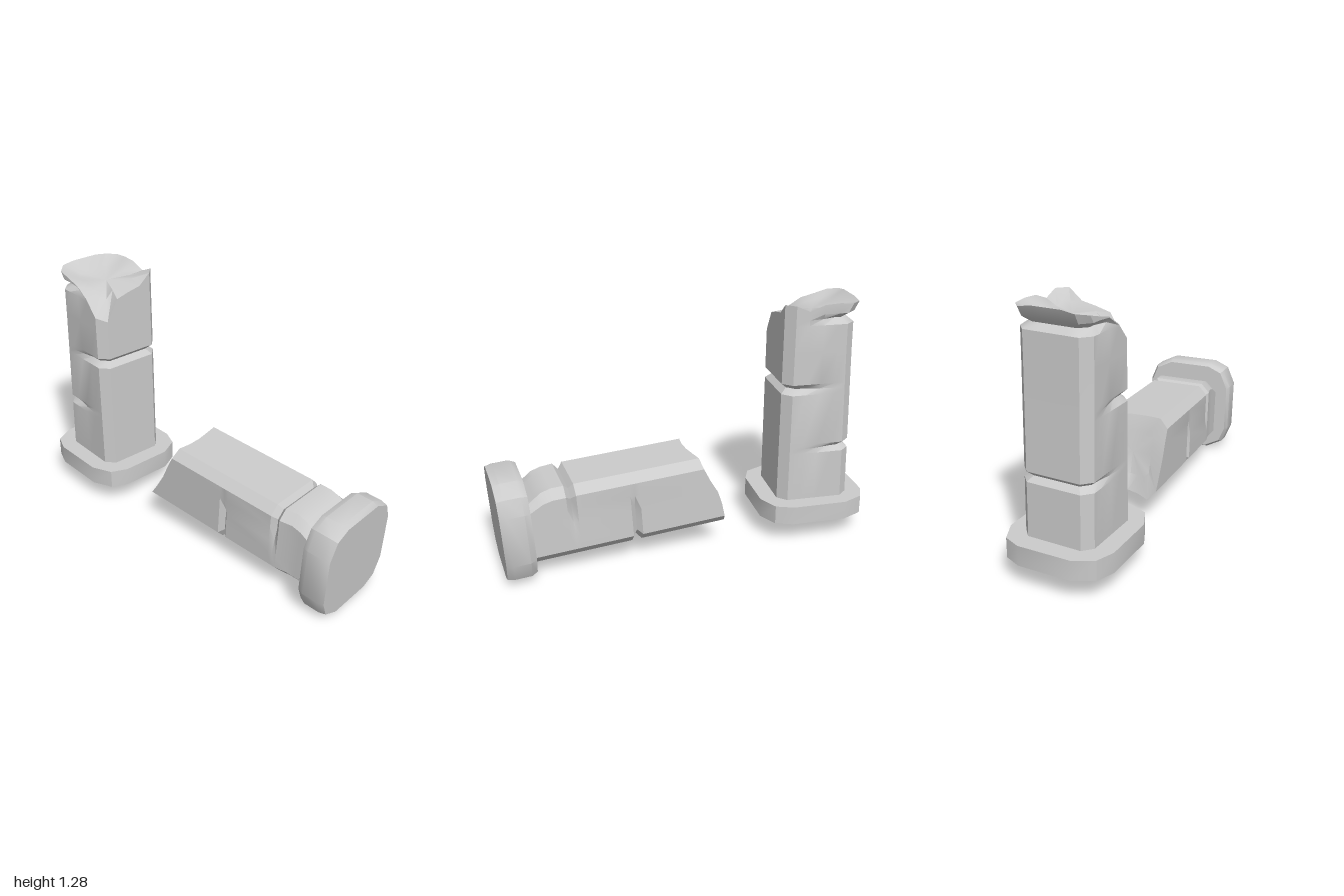
import * as THREE from 'three';
import { toCreasedNormals } from 'three/addons/utils/BufferGeometryUtils.js';

const material = new THREE.MeshStandardMaterial({ color: 0xcccccc });
const clamp = (v) => Math.min(1, Math.max(0, v));

// Skin a stack of equal rings, bottom to top, closing an end with a fan where a centre is given
function loft(rings, topCentre, bottomCentre) {
  const n = rings[0].length;
  const pos = rings.flat(2);
  const idx = [];
  for (let j = 0; j + 1 < rings.length; j++) {
    for (let i = 0; i < n; i++) {
      const a = j * n + i, b = j * n + (i + 1) % n;
      idx.push(a, a + n, b, b, a + n, b + n);
    }
  }
  const cap = (centre, start, up) => {
    const c = pos.length / 3;
    pos.push(...centre);
    for (let i = 0; i < n; i++) {
      const a = start + i, b = start + (i + 1) % n;
      idx.push(c, up ? b : a, up ? a : b);
    }
  };
  if (topCentre) cap(topCentre, (rings.length - 1) * n, true);
  if (bottomCentre) cap(bottomCentre, 0, false);
  const g = new THREE.BufferGeometry();
  g.setAttribute('position', new THREE.Float32BufferAttribute(pos, 3));
  g.setIndex(idx);
  return toCreasedNormals(g, 0.5);
}

function addMesh(parent, name, geometry) {
  const mesh = new THREE.Mesh(geometry, material);
  mesh.name = name;
  parent.add(mesh);
  return mesh;
}

// Square outline with clipped corners, five points per side: +x, +z, -x, -z
function shaftOutline(hx, hz) {
  const pts = [];
  for (let s = 0; s < 4; s++) {
    for (const t of [-0.76, -0.4, 0, 0.4, 0.76]) {
      const [x, z] = [[1, t], [-t, 1], [-1, -t], [t, -1]][s];
      pts.push([x * hx, z * hz]);
    }
  }
  return pts;
}

// Rounded square slab; levels are [height, scale]
function plate(hx, hz, levels) {
  const outline = [];
  for (let s = 0; s < 4; s++) {
    for (const [a, b] of [[1, -0.5], [1, 0.5], [0.87, 0.82]]) {
      const [x, z] = [[a, b], [-b, a], [-a, -b], [b, -a]][s];
      outline.push([x * hx, z * hz]);
    }
  }
  const rings = levels.map(([y, k]) => outline.map(([x, z]) => [x * k, y, z * k]));
  return loft(rings, [0, levels.at(-1)[0], 0], [0, levels[0][0], 0]);
}

// Broken shaft: notches cut into the sides, a jagged rim and a sunken broken face
function brokenShaft({ hx, hz, levels, notches, rim, faceY, shape }) {
  const outline = shaftOutline(hx, hz);
  const heights = [...levels];
  for (const n of notches) heights.push(n.y - n.w, n.y, n.y + n.w);
  heights.sort((a, b) => a - b);
  const rings = heights.map((y, j) => outline.map(([x, z], i) => {
    let k = 1;
    for (const n of notches) if (n.y === y) k -= n.depth * n.mask(x, z);
    const py = Math.min(y, rim[i] - 0.004 * (heights.length - j));
    const [sx, sz] = shape ? shape(x, z, py) : [x, z];
    return [sx * k, py, sz * k];
  }));
  rings.push(outline.map(([x, z], i) => [x, rim[i], z]));
  rings.push(outline.map(([x, z], i) => [x * 0.6, faceY + (rim[i] - faceY) * 0.35, z * 0.6]));
  return loft(rings, [0, faceY, 0]);
}

export function createModel() {
  const model = new THREE.Group();

  // Standing stump
  const standing = new THREE.Group();
  standing.name = 'standingPillar';
  standing.position.set(-0.705, 0, 0.078);
  model.add(standing);
  addMesh(standing, 'standingBase', plate(0.287, 0.27, [[0.12, 1], [0.22, 1]])).rotation.y = 0.02;
  addMesh(standing, 'standingShaft', brokenShaft({
    hx: 0.195, hz: 0.182,
    levels: [0.2, 1.04],
    notches: [
      { y: 0.51, w: 0.025, depth: 0.15, mask: (x) => clamp((0.04 - x) / 0.15) },
      { y: 0.84, w: 0.028, depth: 0.16, mask: (x) => clamp((x + 0.07) / 0.16) },
      { y: 1.205, w: 0.028, depth: 0.2, mask: (x) => clamp((0.05 - x) / 0.12) },
    ],
    rim: [
      1.28, 1.225, 1.21, 1.19, 1.08,
      1.1, 1.18, 1.23, 1.25, 1.27,
      1.28, 1.29, 1.29, 1.29, 1.28,
      1.28, 1.285, 1.28, 1.25, 1.28,
    ],
    faceY: 1.22,
    // The -x side leans in slightly towards the top
    shape: (x, z, y) => [x < -0.1 ? x + 0.025 * clamp((y - 0.22) / 0.9) : x, z],
  }));

  // Fallen piece, lying with its base to +x; its own y axis runs along the shaft
  const fallen = new THREE.Group();
  fallen.name = 'fallenPillar';
  const axis = new THREE.Vector3(-1, 0.06, 0.12).normalize();
  const side = new THREE.Vector3(0, 0, 1).addScaledVector(axis, -axis.z).normalize();
  const up = new THREE.Vector3().crossVectors(axis, side);
  fallen.quaternion.setFromRotationMatrix(new THREE.Matrix4().makeBasis(up, axis, side));
  fallen.position.set(0.972, 0.268, -0.108);
  model.add(fallen);
  addMesh(fallen, 'fallenBase', plate(0.262, 0.247, [[0, 0.97], [0.035, 1], [0.12, 1], [0.15, 0.95]]));
  addMesh(fallen, 'fallenShaft', brokenShaft({
    hx: 0.192, hz: 0.182,
    levels: [0.12, 0.19, 0.22, 0.27, 1.0],
    notches: [
      { y: 0.36, w: 0.025, depth: 0.14, mask: (x) => clamp((x + 0.05) / 0.1) },
      { y: 0.68, w: 0.025, depth: 0.14, mask: (x) => clamp((0.1 - x) / 0.1) },
    ],
    rim: [
      1.04, 1.03, 1.02, 1.02, 1.03,
      1.04, 1.07, 1.1, 1.14, 1.18,
      1.19, 1.14, 1.11, 1.13, 1.16,
      1.15, 1.14, 1.12, 1.08, 1.05,
    ],
    faceY: 1.05,
    // Broken-away upper part beside the base
    shape: (x, z, y) => {
      const k = y < 0.3 && x > 0 ? 0.55 + 0.45 * clamp((y - 0.12) / 0.12) : 1;
      return [x * k, y < 0.3 && z > 0 ? z * 0.93 : z];
    },
  }));

  return model;
}
